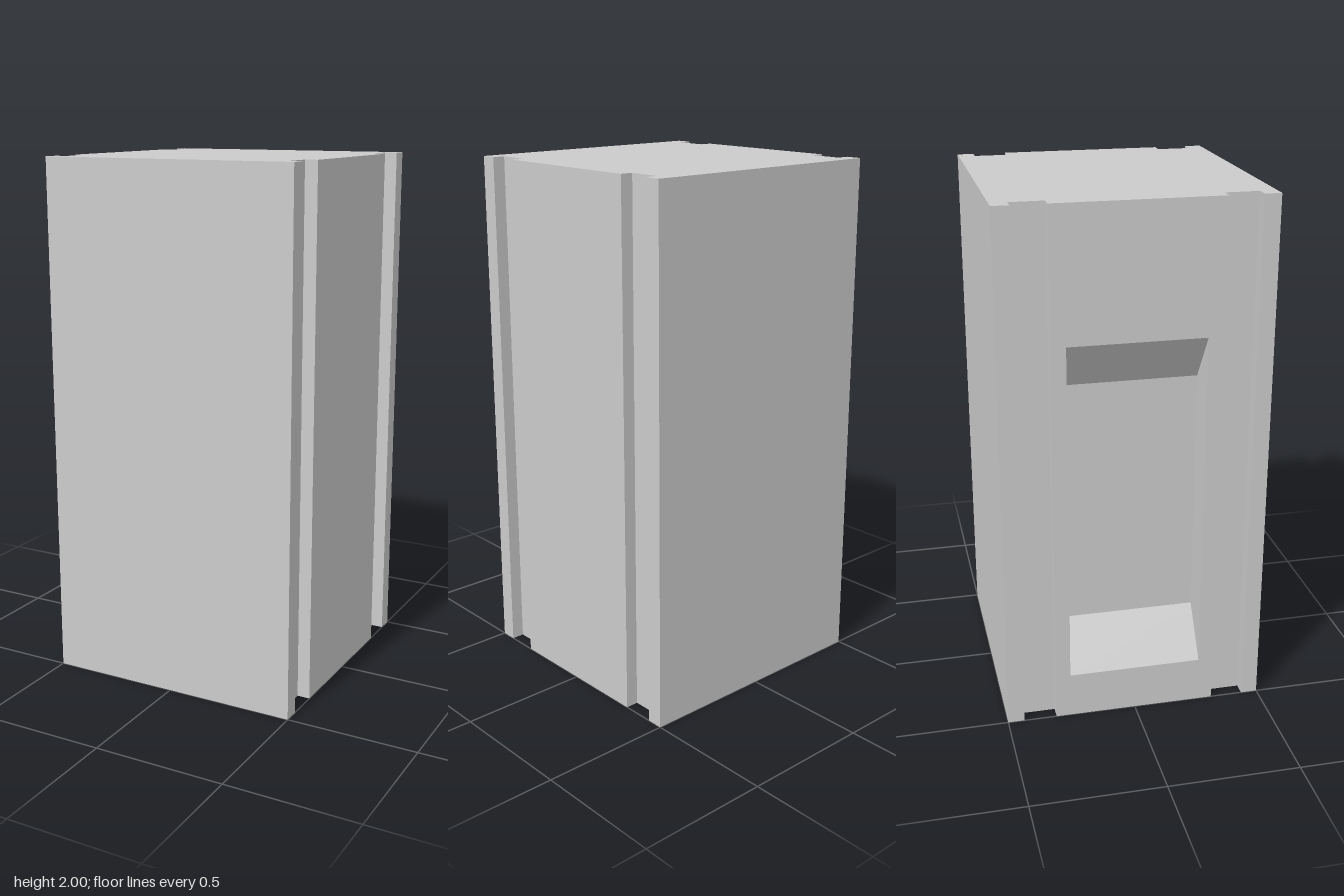
import * as THREE from 'three';

const H = 2, W = 0.5;                        // height, half width
const GROOVE = { near: 0.311, far: 0.437, x: 0.451 };
const RECESS = { z: 0.255, y0: 0.177, y1: 1.5, depth: 0.128, slope: 0.185 };

const material = new THREE.MeshStandardMaterial({ color: 0xcccccc, flatShading: true });

function addMesh(group, name, geometry) {
  const mesh = new THREE.Mesh(geometry, material);
  mesh.name = name;
  group.add(mesh);
}

// Flat four-sided faces, corners anticlockwise seen from outside
function quads(list) {
  const pos = [];
  for (const [a, b, c, d] of list) pos.push(...a, ...b, ...c, ...a, ...c, ...d);
  const g = new THREE.BufferGeometry();
  g.setAttribute('position', new THREE.Float32BufferAttribute(pos, 3));
  g.computeVertexNormals();
  return g;
}

// Plan outline as (x, -z): one grooved side, then its half-turn copy
function planOutline() {
  const { near, far, x } = GROOVE;
  const side = [
    [W, -W], [W, -far], [x, -far], [x, -near], [W, -near],
    [W, near], [x, near], [x, far], [W, far], [W, W],
  ];
  return [...side, ...side.map(([px, py]) => [-px, -py])].map(p => new THREE.Vector2(...p));
}

export function createModel() {
  const model = new THREE.Group();
  model.name = 'groovedBlock';
  const outline = planOutline();

  // Top and bottom caps
  const plan = new THREE.Shape(outline);
  addMesh(model, 'topFace', new THREE.ShapeGeometry(plan).rotateX(-Math.PI / 2).translate(0, H, 0));
  addMesh(model, 'bottomFace', new THREE.ShapeGeometry(plan).rotateX(Math.PI / 2));

  // Upright walls and grooves, leaving out the side that holds the recess
  const walls = [];
  outline.forEach((a, i) => {
    const b = outline[(i + 1) % outline.length];
    const isPanel = a.x === -W && b.x === -W && Math.abs(a.y - b.y) > 0.3;
    if (!isPanel) walls.push([[a.x, 0, -a.y], [b.x, 0, -b.y], [b.x, H, -b.y], [a.x, H, -a.y]]);
  });
  addMesh(model, 'groovedWalls', quads(walls));

  // Side panel with a rectangular opening
  const { z, y0, y1, depth, slope } = RECESS;
  const rect = (hz, lo, hi) => [[-hz, lo], [hz, lo], [hz, hi], [-hz, hi]];
  const toPath = (Type, pts) => new Type(pts.map(p => new THREE.Vector2(...p)));
  const panel = toPath(THREE.Shape, rect(GROOVE.near, 0, H));
  panel.holes.push(toPath(THREE.Path, rect(z, y0, y1)));
  addMesh(model, 'recessedPanel', new THREE.ShapeGeometry(panel).rotateY(-Math.PI / 2).translate(-W, 0, 0));

  // Recess: straight sides, sloping top and bottom, flat floor
  const mouth = rect(z, y0, y1).map(([pz, py]) => [-W, py, pz]);
  const floor = rect(z, y0 + slope, y1 - slope).map(([pz, py]) => [-W + depth, py, pz]);
  const faces = mouth.map((m, i) => {
    const j = (i + 1) % 4;
    return [m, mouth[j], floor[j], floor[i]];
  });
  addMesh(model, 'recess', quads([...faces, floor]));

  return model;
}
